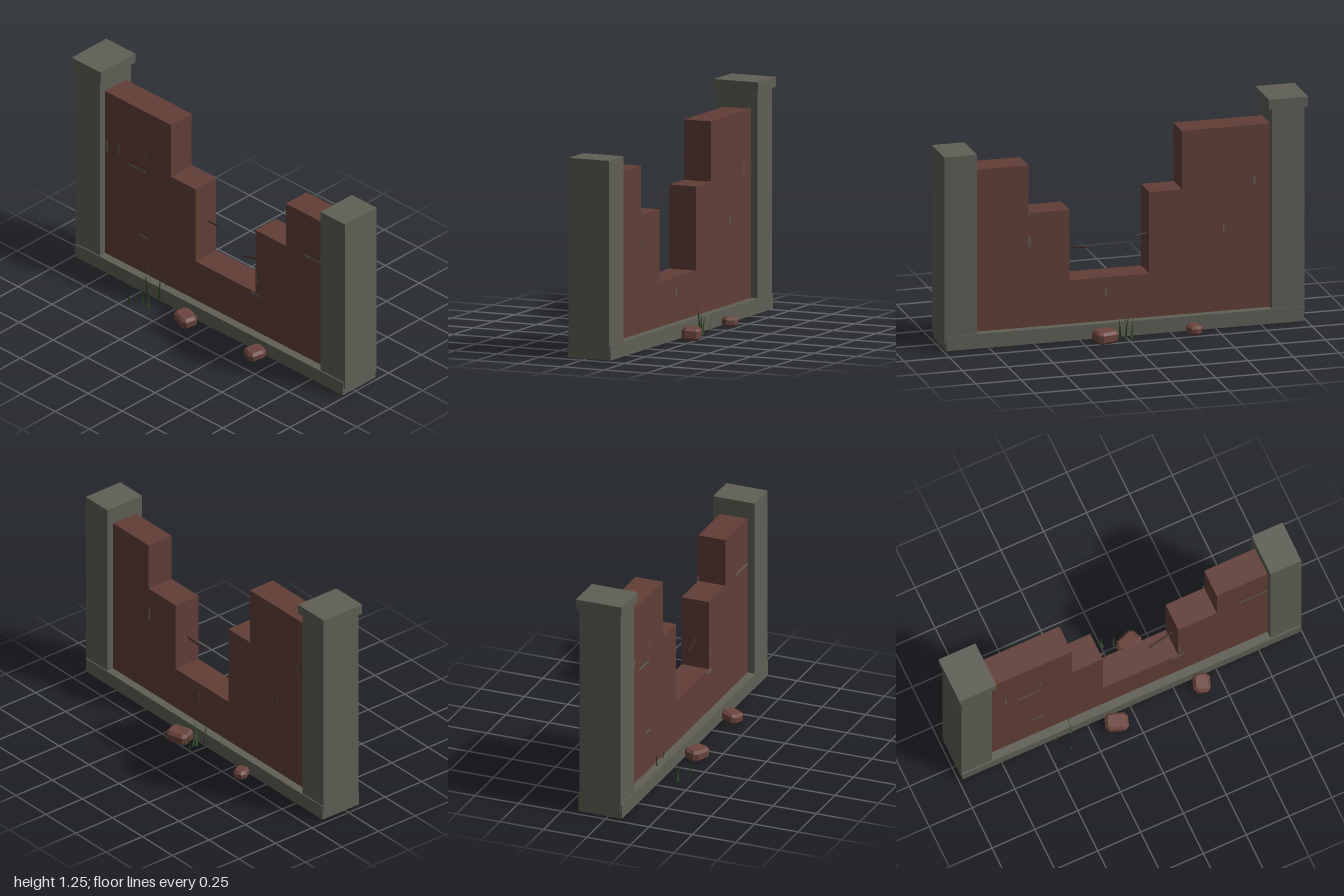
import * as THREE from 'three';

const mat = (name, color, side = THREE.FrontSide) => {
  const m = new THREE.MeshStandardMaterial({ color, side });
  m.name = name;
  return m;
};

export function createModel() {
  const root = new THREE.Group();
  root.name = 'ruinedWall';
  const stone = mat('greyStone', 0x5f5f56);
  const brick = mat('redBrick', 0x613e37);
  const rubble = mat('rubbleBrick', 0x6a443c);
  const iron = mat('rustyIron', 0x3a2724);
  const grass = mat('grassGreen', 0x35502a, THREE.DoubleSide);

  const add = (name, geometry, material) => {
    const mesh = new THREE.Mesh(geometry, material);
    mesh.name = name;
    root.add(mesh);
    return mesh;
  };
  const box = (name, material, x0, x1, y0, y1, z0, z1) => {
    const mesh = add(name, new THREE.BoxGeometry(x1 - x0, y1 - y0, z1 - z0), material);
    mesh.position.set((x0 + x1) / 2, (y0 + y1) / 2, (z0 + z1) / 2);
    return mesh;
  };

  // Plinth and the two end pillars, only one of which keeps its cap
  box('plinth', stone, -0.98, 0.99, 0.015, 0.095, -0.163, 0.087);
  box('rightPillar', stone, -0.983, -0.805, 0.055, 1.2, -0.157, 0.08);
  box('rightPillarCap', stone, -1, -0.785, 1.2, 1.255, -0.17, 0.093);
  box('leftPillar', stone, 0.82, 1, 0.055, 1.085, -0.157, 0.08);

  // Stepped, broken brick wall
  const outline = [
    [-0.82, 0.09], [0.83, 0.09], [0.83, 0.99], [0.525, 0.99], [0.525, 0.725], [0.3, 0.725],
    [0.3, 0.335], [-0.14, 0.335], [-0.14, 0.785], [-0.32, 0.785], [-0.32, 1.108], [-0.82, 1.108],
  ];
  const wallShape = new THREE.Shape(outline.map(([x, y]) => new THREE.Vector2(x, y)));
  const wallGeo = new THREE.ExtrudeGeometry(wallShape, { depth: 0.157, bevelEnabled: false });
  add('brickWall', wallGeo, brick).position.z = -0.117;

  // Traces of mortar: x, y, width, height
  const frontMortar = [
    [-0.57, 0.727, 0.13, 0.013], [-0.705, 0.785, 0.01, 0.06], [-0.795, 0.77, 0.012, 0.07],
    [-0.52, 0.32, 0.07, 0.012], [0.74, 0.728, 0.16, 0.013], [0.3, 0.322, 0.07, 0.014],
    [0.312, 0.42, 0.01, 0.06], [-0.505, 0.82, 0.008, 0.04],
  ];
  const backMortar = [
    [0.52, 0.57, 0.01, 0.06], [0.52, 0.73, 0.008, 0.04], [-0.72, 0.8, 0.01, 0.05],
    [-0.55, 0.55, 0.008, 0.04], [0.1, 0.25, 0.01, 0.05],
  ];
  for (const [list, z] of [[frontMortar, 0.04], [backMortar, -0.117]]) {
    for (const [x, y, w, h] of list) {
      box('mortarTrace', stone, x - w / 2, x + w / 2, y - h / 2, y + h / 2, z - 0.001, z + 0.001);
    }
  }

  // Iron bars sticking out of the broken edges
  const rod = (a, b) => {
    const path = new THREE.LineCurve3(new THREE.Vector3(...a), new THREE.Vector3(...b));
    const dir = path.getTangent(0);
    const mesh = add('ironBar', new THREE.CylinderGeometry(0.005, 0.005, path.getLength(), 6), iron);
    mesh.position.copy(path.getPoint(0.5));
    mesh.quaternion.setFromUnitVectors(new THREE.Vector3(0, 1, 0), dir);
  };
  rod([-0.2, 0.55, -0.05], [-0.08, 0.534, -0.069]);
  rod([0.34, 0.507, -0.041], [0.157, 0.476, -0.018]);

  // Fallen bricks with chamfered edges
  const fallenBrick = (x, y, z, w, h, d, turn, tilt) => {
    const c = 0.012, bevel = 0.014;
    const a = w / 2 - bevel, b = d / 2 - bevel;
    const points = [
      [-a + c, -b], [a - c, -b], [a, -b + c], [a, b - c],
      [a - c, b], [-a + c, b], [-a, b - c], [-a, -b + c],
    ].map((p) => new THREE.Vector2(...p));
    const geo = new THREE.ExtrudeGeometry(new THREE.Shape(points), {
      depth: h - bevel * 2, bevelThickness: bevel, bevelSize: bevel, bevelSegments: 1,
    });
    geo.center().rotateX(-Math.PI / 2);
    const mesh = add('fallenBrick', geo, rubble);
    mesh.position.set(x, y, z);
    mesh.rotation.set(tilt, turn, -tilt * 0.6);
  };
  fallenBrick(-0.11, 0.042, 0.147, 0.125, 0.062, 0.095, -0.33, 0.06);
  fallenBrick(0.39, 0.042, 0.137, 0.092, 0.056, 0.105, -0.35, 0.1);
  fallenBrick(0.135, 0.045, -0.225, 0.13, 0.066, 0.1, 0.35, -0.08);
  fallenBrick(-0.36, 0.037, -0.21, 0.075, 0.052, 0.085, 0.5, -0.08);

  // Grass blades, tapered and bent outwards: x, z, height, lean, turn
  const blades = [
    [-0.45, 0.06, 0.15, 0.025, -1.2], [-0.44, 0.1, 0.13, 0.02, 0.4],
    [-0.35, 0.1, 0.15, -0.02, 0.3], [-0.355, 0.05, 0.12, 0.02, 1.2],
    [-0.39, 0.18, 0.11, 0.02, 0.6], [-0.455, 0.185, 0.11, 0.025, -0.8],
    [-0.33, 0.2, 0.13, 0.02, 0.9], [-0.435, 0.24, 0.13, 0.04, 0.1],
    [0.0, -0.265, 0.12, 0.022, 3.3], [0.01, -0.21, 0.15, 0.02, 1.5],
    [0.0, -0.165, 0.11, 0.02, 0.4], [0.06, -0.255, 0.11, 0.02, 2.6],
    [0.02, -0.225, 0.12, 0.02, -1.4],
  ];
  for (const [x, z, height, lean, turn] of blades) {
    const geo = new THREE.PlaneGeometry(0.016, 1, 1, 4);
    const pos = geo.attributes.position;
    for (let i = 0; i < pos.count; i++) {
      const t = pos.getY(i) + 0.5;
      pos.setXYZ(i, pos.getX(i) * (1 - 0.95 * t), t * height, lean * t * t);
    }
    geo.computeVertexNormals();
    const mesh = add('grassBlade', geo, grass);
    mesh.position.set(x, 0.028, z);
    mesh.rotation.y = turn;
  }
  return root;
}
